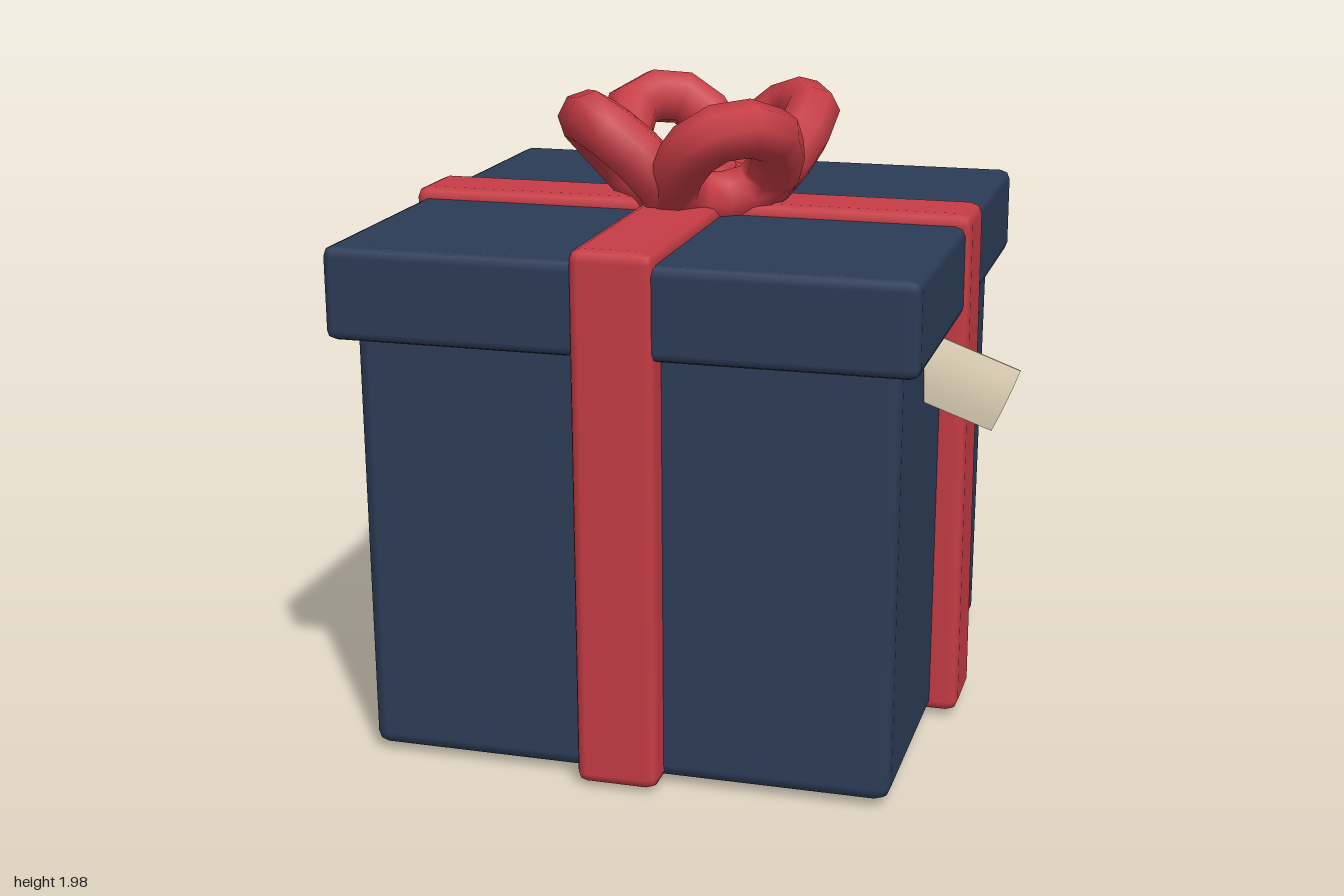
import * as THREE from 'three';
import { RoundedBoxGeometry } from 'three/addons/geometries/RoundedBoxGeometry.js';

const flat = (name, color) => {
  const m = new THREE.MeshStandardMaterial({ color });
  m.name = name;
  return m;
};

export function createModel() {
  const navy = flat('navy card', 0x2c3c57);
  const red = flat('red ribbon', 0xc63c45);
  const cream = flat('cream tag', 0xe4d6ba);

  const model = new THREE.Group();
  model.name = 'giftBox';

  // everything but the tag shares one slight turn
  const parcel = new THREE.Group();
  parcel.name = 'parcel';
  parcel.position.x = -0.098;
  parcel.rotation.y = 0.03;
  model.add(parcel);

  const add = (parent, name, geometry, material, x = 0, y = 0, z = 0) => {
    const mesh = new THREE.Mesh(geometry, material);
    mesh.name = name;
    mesh.position.set(x, y, z);
    parent.add(mesh);
    return mesh;
  };
  // bevelled block standing between heights y0 and y1
  const block = (parent, name, material, w, d, y0, y1, bevel) =>
    add(parent, name, new RoundedBoxGeometry(w, y1 - y0, d, 1, bevel), material, 0, (y0 + y1) / 2, 0);

  // body, slightly narrower at the foot and leaning a little
  const body = block(parcel, 'body', navy, 1.63, 1.63, 0.017, 1.42, 0.045);
  const pos = body.geometry.attributes.position;
  for (let i = 0; i < pos.count; i++) {
    const k = 0.996 + 0.01 * (pos.getY(i) / 1.4);
    pos.setX(i, pos.getX(i) * k);
    pos.setZ(i, pos.getZ(i) * k);
  }
  body.rotation.x = -0.012;

  block(parcel, 'lid', navy, 1.755, 1.755, 1.33, 1.61, 0.03);

  // ribbons crossing over the lid and down all four sides
  block(parcel, 'ribbonFrontToBack', red, 0.253, 1.79, 0.019, 1.648, 0.035);
  block(parcel, 'ribbonSideToSide', red, 1.79, 0.253, 0.025, 1.644, 0.035);

  // bow: a knot and four upright loops around it
  const bow = new THREE.Group();
  bow.name = 'bow';
  bow.position.x = 0.018;
  parcel.add(bow);
  block(bow, 'knot', red, 0.24, 0.24, 1.58, 1.765, 0.07);

  // wide loops whose neighbouring legs meet low down, between the corners
  const half = [[0.13, 0.07, 1.655], [0.165, 0.15, 1.7], [0.265, 0.15, 1.815], [0.348, 0.075, 1.895]];
  const mirrored = half.map(([r, s, y]) => [r, -s, y]).reverse();
  const path = new THREE.CatmullRomCurve3(
    [...half, ...mirrored].map(([r, s, y]) => new THREE.Vector3(r, y, s)), true);
  const loopGeometry = new THREE.TubeGeometry(path, 11, 0.088, 8, true);
  for (let i = 0; i < 4; i++) {
    const loop = add(bow, 'bowLoop', loopGeometry, red);
    loop.rotation.y = 0.64 + i * Math.PI / 2;
  }

  // gift tag, a gently curled card poking out from under the lid
  const card = new THREE.BoxGeometry(0.36, 0.2, 0.01, 6, 4, 1);
  const cp = card.attributes.position;
  for (let i = 0; i < cp.count; i++) {
    const v = cp.getY(i) / 0.1;
    cp.setZ(i, cp.getZ(i) + 0.012 * (1 - v * v));
  }
  card.computeVertexNormals();
  const tag = add(model, 'tag', card, cream, 0.8, 1.217, 0.365);
  tag.rotation.set(0, 0.28, -0.41, 'YXZ');

  return model;
}
